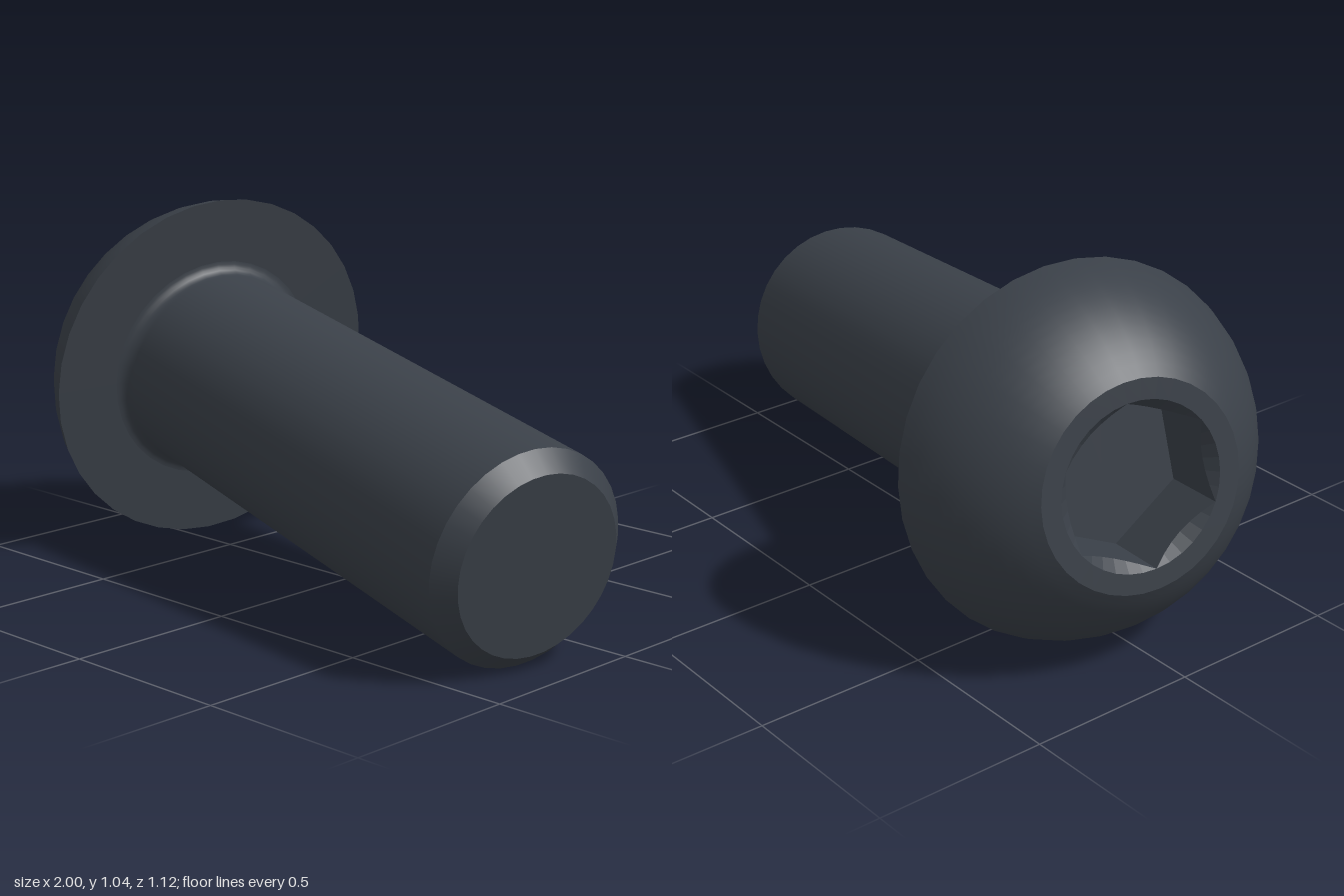
import * as THREE from 'three';

const SEGMENTS = 36;
const PHASE = THREE.MathUtils.degToRad(8); // lines the facets up with the hex corners
const HEX_CORNER = THREE.MathUtils.degToRad(38);

// Main sizes, measured from the underside of the head along the axis
const SHANK_R = 0.3, TIP_R = 0.25, LENGTH = 1.6, CHAMFER = 0.053, FILLET = 0.035;
const HEAD_R = 0.525, HEAD_H = 0.33, FACE_R = 0.288;
const HEX_R = 0.2, SOCKET_R = HEX_R / Math.cos(Math.PI / 6), SOCKET_DEPTH = 0.208;

const lathe = (points) => new THREE.LatheGeometry(
  points.map(([r, y]) => new THREE.Vector2(r, y)), SEGMENTS, PHASE);

// Points of a shallow arc that bulges away from the chord by `sag`
function arc([x0, y0], [x1, y1], sag, steps) {
  const chord = Math.hypot(x1 - x0, y1 - y0);
  const radius = (chord * chord / 4 + sag * sag) / (2 * sag);
  const half = Math.asin(chord / 2 / radius);
  const ux = (x1 - x0) / chord, uy = (y1 - y0) / chord;
  return Array.from({ length: steps + 1 }, (_, i) => {
    const t = half * (2 * i / steps - 1);
    const along = chord / 2 + radius * Math.sin(t);
    const out = radius * (Math.cos(t) - Math.cos(half));
    return [x0 + ux * along + uy * out, y0 + uy * along - ux * out];
  });
}

// Round countersink running into a hexagonal pocket with a flat floor
function socketGeometry() {
  const floor = HEAD_H - SOCKET_DEPTH;
  const geo = lathe([[SOCKET_R, HEAD_H], [HEX_R, HEAD_H], [HEX_R, floor], [0, floor]]);
  const pos = geo.attributes.position;
  const side = Math.PI / 3;
  for (let i = 0; i < pos.count; i++) {
    const ring = i % 4;
    if (ring !== 1 && ring !== 2) continue;
    const phi = PHASE + Math.floor(i / 4) * Math.PI * 2 / SEGMENTS;
    const a = THREE.MathUtils.euclideanModulo(phi - HEX_CORNER, side) - side / 2;
    const r = HEX_R / Math.cos(a);
    const y = ring === 1 ? HEAD_H - (SOCKET_R - r) : floor;
    pos.setXYZ(i, r * Math.sin(phi), y, r * Math.cos(phi));
  }
  const flat = geo.toNonIndexed();
  flat.computeVertexNormals();
  return flat;
}

export function createModel() {
  const steel = new THREE.MeshStandardMaterial({ color: 0x3a4048 });
  steel.name = 'dark steel';

  const bolt = new THREE.Group();
  bolt.name = 'bolt';
  const add = (name, geometry) => {
    const mesh = new THREE.Mesh(geometry, steel);
    mesh.name = name;
    bolt.add(mesh);
  };

  // Shank, from the tip up to the fillet under the head
  const fillet = Array.from({ length: 7 }, (_, i) => {
    const t = i / 6 * Math.PI / 2;
    return [SHANK_R + FILLET * (1 - Math.cos(t)), FILLET * (Math.sin(t) - 1)];
  });
  add('tipFace', lathe([[0, -LENGTH], [TIP_R, -LENGTH]]));
  add('tipChamfer', lathe([[TIP_R, -LENGTH], [SHANK_R, -LENGTH + CHAMFER]]));
  add('shank', lathe([[SHANK_R, -LENGTH + CHAMFER], [SHANK_R, -FILLET - 0.01], ...fillet]));

  // Button head
  add('headUnderside', lathe([[SHANK_R + FILLET, 0], [HEAD_R, 0]]));
  add('headDome', lathe(arc([HEAD_R, 0], [FACE_R, HEAD_H], 0.04, 12)));
  add('headFace', lathe([[FACE_R, HEAD_H], [SOCKET_R, HEAD_H]]));
  add('hexSocket', socketGeometry());

  // Lay the bolt over so the head points to -x and the tip to +x, down and forward
  const axis = new THREE.Vector3(-0.967, 0.147, -0.206).normalize();
  const up = new THREE.Vector3(0, 1, 0).addScaledVector(axis, -axis.y).normalize();
  const across = new THREE.Vector3().crossVectors(up, axis);
  bolt.quaternion.setFromRotationMatrix(new THREE.Matrix4().makeBasis(up, axis, across));
  bolt.position.set(-0.611, 0.524, -0.047);

  const model = new THREE.Group();
  model.name = 'buttonHeadBolt';
  model.add(bolt);
  return model;
}
